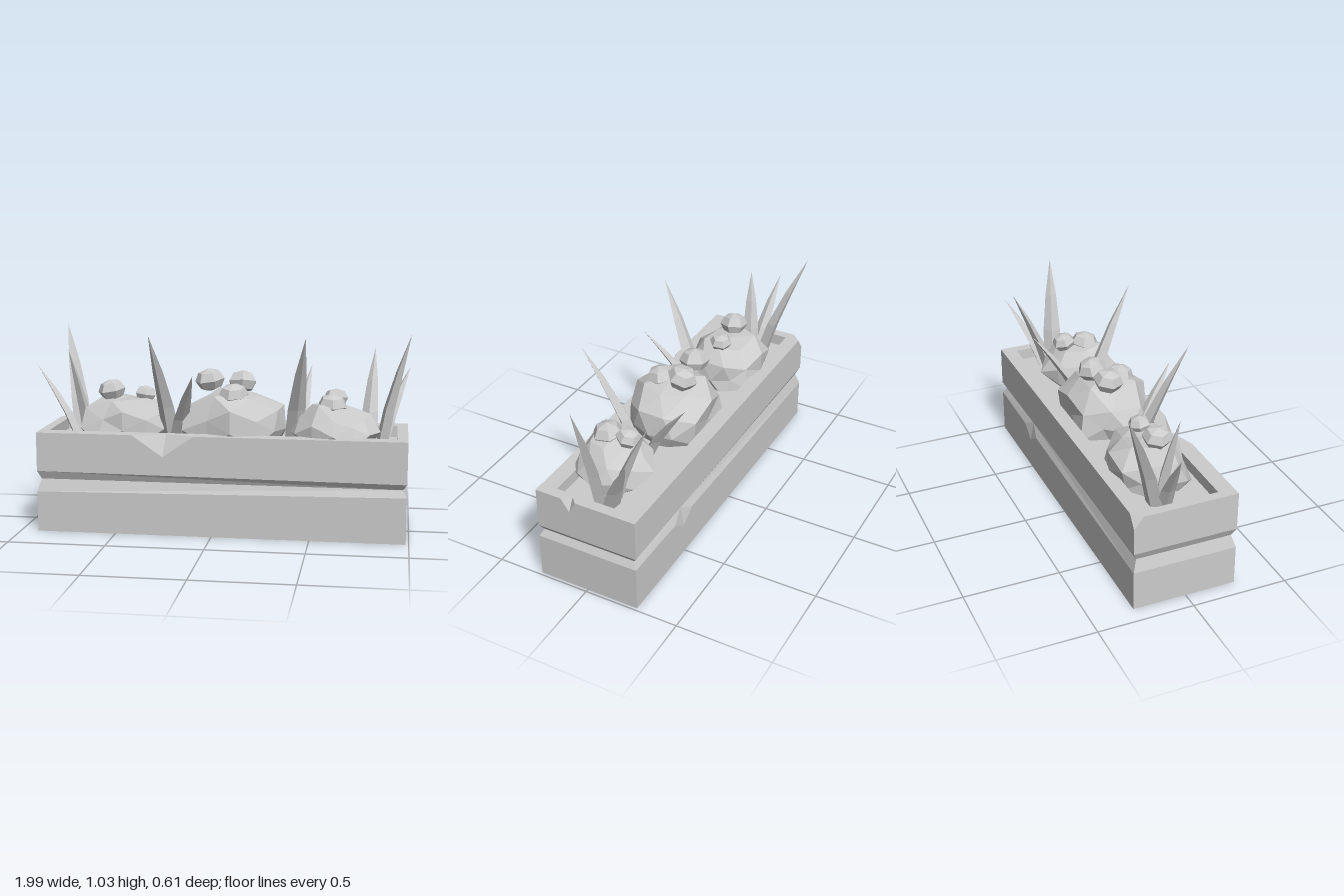
import * as THREE from 'three';

const material = new THREE.MeshStandardMaterial({ color: 0xcccccc, flatShading: true });

function addMesh(parent, name, geometry) {
  const mesh = new THREE.Mesh(geometry, material);
  mesh.name = name;
  parent.add(mesh);
  return mesh;
}

// Small seeded hash, so that coincident vertices move together
function hash(x, y, z, seed) {
  const s = Math.sin(x * 12.9898 + y * 78.233 + z * 37.719 + seed * 4.581) * 43758.5453;
  return s - Math.floor(s);
}

// Collects polygons, each fanned from its first corner and turned to face a hint direction
function polygonBuilder() {
  const data = [];
  return {
    add(hint, ...corners) {
      const p = corners.map(c => new THREE.Vector3(...c));
      const normal = new THREE.Vector3();
      for (let i = 1; i < p.length - 1; i++) {
        normal.add(p[i].clone().sub(p[0]).cross(p[i + 1].clone().sub(p[0])));
      }
      const rest = p.slice(1);
      if (normal.dot(new THREE.Vector3(...hint)) < 0) rest.reverse();
      for (let i = 0; i < rest.length - 1; i++) {
        for (const v of [p[0], rest[i], rest[i + 1]]) data.push(v.x, v.y, v.z);
      }
    },
    build() {
      const g = new THREE.BufferGeometry();
      g.setAttribute('position', new THREE.Float32BufferAttribute(data, 3));
      g.computeVertexNormals();
      return g;
    },
  };
}

// Trough extents: outer, inner, heights and groove inset
const L = -0.91, R = 0.985, B = -0.278, F = 0.265;
const iL = -0.86, iR = 0.93, iB = -0.2, iF = 0.18;
const TOP = 0.52, SOIL = 0.46, MID = 0.275, IN = 0.02;
const low = x => (x === L ? 0.21 : 0.238);   // the groove narrows toward one end
const high = x => (x === L ? 0.318 : 0.305);

function planterGeometry() {
  const g = polygonBuilder();
  const front = [0, 0, 1], back = [0, 0, -1], right = [1, 0, 0], left = [-1, 0, 0], up = [0, 1, 0];
  const mL = L + IN, mR = R - IN, mB = B + IN, mF = F - IN;

  // Base
  g.add([0, -1, 0], [L, 0, B], [R, 0, B], [R, 0, F], [L, 0, F]);

  // Front, with a chip in the rim
  const fa = [-0.25, 0.41, F], f1 = [-0.41, TOP, F], f2 = [-0.09, TOP, F], fi = [-0.24, TOP, 0.21];
  g.add(front, [L, 0, F], [R, 0, F], [R, low(R), F], [L, low(L), F]);
  g.add(front, [L, low(L), F], [R, low(R), F], [mR, MID, mF], [mL, MID, mF]);
  g.add(front, [L, high(L), F], [R, high(R), F], [mR, MID, mF], [mL, MID, mF]);
  g.add(front, fa, f1, [L, TOP, F], [L, high(L), F], [R, high(R), F], [R, TOP, F], f2);
  g.add([0, 1, 1], fa, f1, fi);
  g.add([0, 1, 1], fa, f2, fi);

  // Right end, with a small chip in the rim
  const ra = [R, 0.452, 0.08], r1 = [R, TOP, 0.045], r2 = [R, TOP, 0.125], ri = [0.95, TOP, 0.08];
  g.add(right, [R, 0, B], [R, 0, F], [R, low(R), F], [R, low(R), B]);
  g.add(right, [R, low(R), B], [R, low(R), F], [mR, MID, mF], [mR, MID, mB]);
  g.add(right, [R, high(R), B], [R, high(R), F], [mR, MID, mF], [mR, MID, mB]);
  g.add(right, ra, r1, [R, TOP, B], [R, high(R), B], [R, high(R), F], [R, TOP, F], r2);
  g.add([1, 1, 0], ra, r1, ri);
  g.add([1, 1, 0], ra, r2, ri);

  // Chipped back corner
  const ca = [L, 0.455, B], c1 = [L, TOP, B + 0.05], c2 = [L + 0.05, TOP, B];
  g.add([-1, 1, -1], ca, c1, c2);

  // Left end
  g.add(left, [L, 0, B], [L, 0, F], [L, low(L), F], [L, low(L), B]);
  g.add(left, [L, low(L), B], [L, low(L), F], [mL, MID, mF], [mL, MID, mB]);
  g.add(left, [L, high(L), B], [L, high(L), F], [mL, MID, mF], [mL, MID, mB]);
  g.add(left, ca, [L, high(L), B], [L, high(L), F], [L, TOP, F], c1);

  // Back, with a chip below the groove
  const edge = x => low(L) + (low(R) - low(L)) * (x - L) / (R - L);
  const ba = [0.51, 0.17, B], b1 = [0.42, edge(0.42), B], b2 = [0.6, edge(0.6), B], bi = [0.51, MID, mB];
  g.add(back, ba, b1, [L, low(L), B], [L, 0, B], [R, 0, B], [R, low(R), B], b2);
  g.add(back, bi, [mL, MID, mB], [L, low(L), B], b1);
  g.add(back, bi, b2, [R, low(R), B], [mR, MID, mB]);
  g.add(back, bi, b1, ba);
  g.add(back, bi, ba, b2);
  g.add(back, [L, high(L), B], [R, high(R), B], [mR, MID, mB], [mL, MID, mB]);
  g.add(back, ca, [L, high(L), B], [R, high(R), B], [R, TOP, B], c2);

  // Rim
  g.add(up, fi, f1, [L, TOP, F], [iL, TOP, iF], [iR, TOP, iF], [R, TOP, F], f2);
  g.add(up, ri, r1, [R, TOP, B], [iR, TOP, iB], [iR, TOP, iF], [R, TOP, F], r2);
  g.add(up, c2, [R, TOP, B], [iR, TOP, iB], [iL, TOP, iB], c1);
  g.add(up, c1, [iL, TOP, iB], [iL, TOP, iF], [L, TOP, F]);

  // Inner walls
  g.add(back, [iL, SOIL, iF], [iR, SOIL, iF], [iR, TOP, iF], [iL, TOP, iF]);
  g.add(front, [iL, SOIL, iB], [iR, SOIL, iB], [iR, TOP, iB], [iL, TOP, iB]);
  g.add(right, [iL, SOIL, iB], [iL, SOIL, iF], [iL, TOP, iF], [iL, TOP, iB]);
  g.add(left, [iR, SOIL, iB], [iR, SOIL, iF], [iR, TOP, iF], [iR, TOP, iB]);
  return g.build();
}

// Faceted, irregular leafy mound
function moundGeometry(rx, ry, rz, seed) {
  const g = new THREE.IcosahedronGeometry(1, 1);
  const p = g.attributes.position;
  const v = new THREE.Vector3();
  for (let i = 0; i < p.count; i++) {
    v.fromBufferAttribute(p, i);
    const k = [v.x, v.y, v.z].map(n => Math.round(n * 100) / 100 + 0);
    v.multiplyScalar(0.8 + 0.28 * hash(...k, seed));
    p.setXYZ(i, v.x * rx, v.y * ry, v.z * rz);
  }
  g.computeVertexNormals();
  return g;
}

// Pointed blade with a diamond section, curving from its base out to its tip
function bladeGeometry(base, tip, width) {
  const g = new THREE.ConeGeometry(1, 1, 4, 3);
  const p = g.attributes.position;
  const [dx, dy, dz] = tip.map((n, i) => n - base[i]);
  const yaw = Math.atan2(dx, dz), c = Math.cos(yaw), s = Math.sin(yaw);
  for (let i = 0; i < p.count; i++) {
    const t = p.getY(i) + 0.5;
    const swell = 1 + 1.2 * t;
    const a = p.getX(i) * swell * width, b = p.getZ(i) * swell * width * 0.65;
    const out = Math.pow(t, 1.25);
    p.setXYZ(i, base[0] + dx * out + a * c + b * s, base[1] + dy * t, base[2] + dz * out - a * s + b * c);
  }
  g.computeVertexNormals();
  return g;
}

export function createModel() {
  const model = new THREE.Group();
  model.name = 'planterBox';

  addMesh(model, 'trough', planterGeometry());
  const soil = addMesh(model, 'soil', new THREE.PlaneGeometry(iR - iL, iF - iB));
  soil.rotation.x = -Math.PI / 2;
  soil.position.set((iL + iR) / 2, SOIL, (iF + iB) / 2);

  // Mounds: centre, radii; blooms: centre and radius
  const plants = [
    { at: [-0.48, 0.52, -0.03], size: [0.26, 0.19, 0.22],
      blooms: [[-0.57, 0.71, -0.01, 0.075], [-0.39, 0.69, -0.02, 0.06]] },
    { at: [0.09, 0.53, 0.01], size: [0.3, 0.22, 0.25],
      blooms: [[-0.05, 0.77, -0.04, 0.08], [0.12, 0.76, -0.06, 0.08], [0.09, 0.71, 0.08, 0.08]] },
    { at: [0.61, 0.53, 0.05], size: [0.23, 0.17, 0.215],
      blooms: [[0.61, 0.69, -0.03, 0.065], [0.6, 0.67, 0.09, 0.08]] },
  ];
  plants.forEach(({ at, size, blooms }, i) => {
    const plant = new THREE.Group();
    plant.name = 'floweringPlant' + (i + 1);
    model.add(plant);
    addMesh(plant, 'leafMound', moundGeometry(...size, i + 1)).position.set(...at);
    blooms.forEach(([x, y, z, r], j) => {
      const bloom = addMesh(plant, 'bloom', new THREE.SphereGeometry(r, 6, 4));
      bloom.scale.y = 0.75;
      bloom.position.set(x, y, z);
      bloom.rotation.set((z - at[2]) * 3, j * 0.7 + i, (at[0] - x) * 2);
    });
  });

  // Clumps of blades: base and tip of each, half width
  const clumps = [
    [[[-0.77, 0.45, -0.06], [-1.0, 0.83, -0.09], 0.04],
      [[-0.75, 0.45, -0.1], [-0.88, 1.03, -0.3], 0.05],
      [[-0.71, 0.45, -0.05], [-0.8, 0.92, 0.0], 0.045]],
    [[[-0.24, 0.45, 0.04], [-0.315, 1.03, 0.28], 0.05],
      [[-0.21, 0.45, 0.04], [-0.09, 0.83, 0.285], 0.045]],
    [[[0.4, 0.45, 0.04], [0.475, 1.03, 0.305], 0.05],
      [[0.41, 0.45, -0.02], [0.47, 0.83, -0.265], 0.045]],
    [[[0.85, 0.45, -0.01], [0.99, 1.03, 0.04], 0.05],
      [[0.78, 0.45, -0.06], [0.805, 0.93, -0.25], 0.045],
      [[0.85, 0.45, -0.07], [0.99, 0.83, -0.24], 0.045]],
  ];
  clumps.forEach((blades, i) => {
    const clump = new THREE.Group();
    clump.name = 'grassClump' + (i + 1);
    model.add(clump);
    for (const blade of blades) addMesh(clump, 'blade', bladeGeometry(...blade));
  });

  return model;
}
